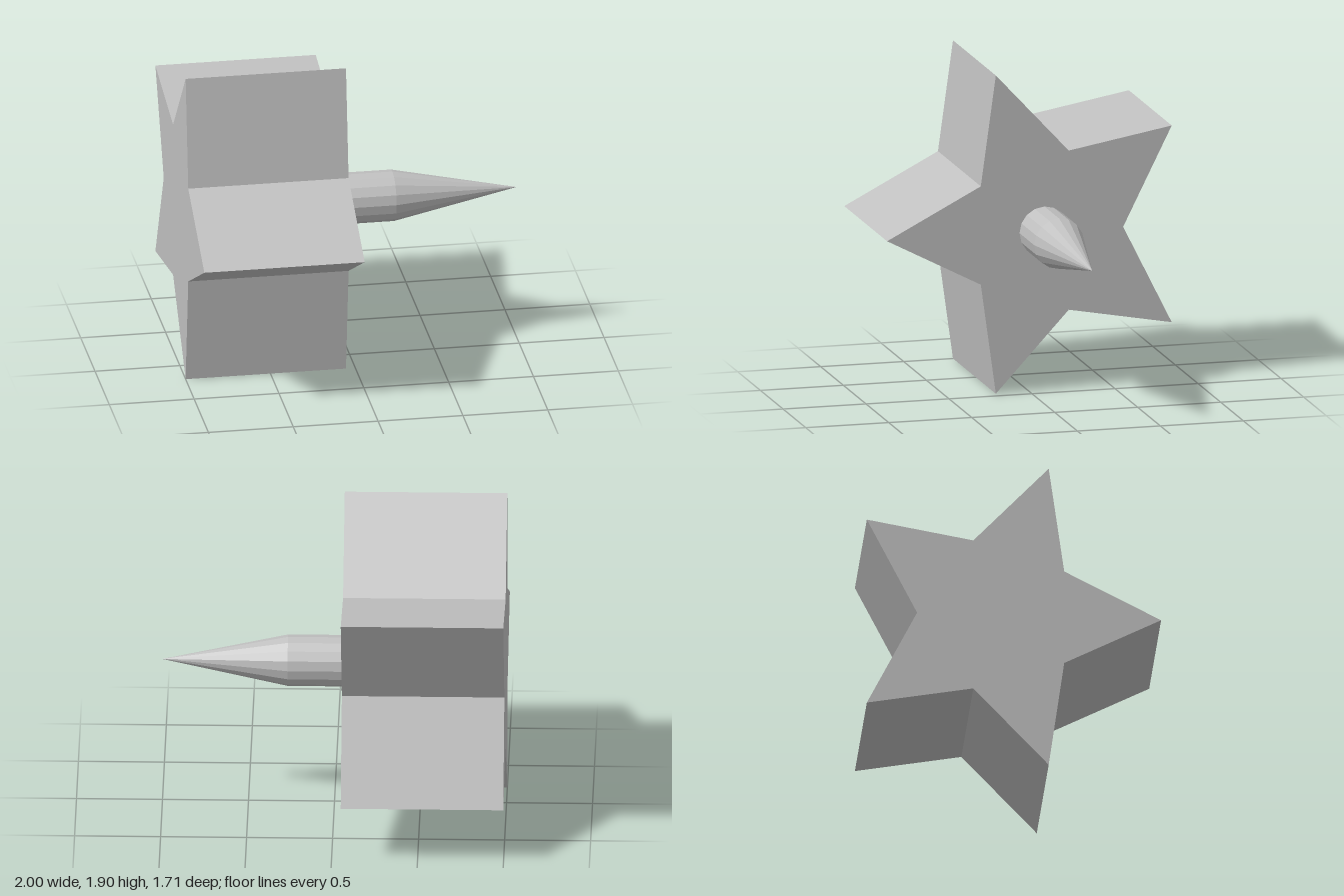
import * as THREE from 'three';

const CENTER_Y = 0.95, CENTER_Z = -0.09;

export function createModel() {
  const group = new THREE.Group();
  const grey = new THREE.MeshStandardMaterial({ color: 0xc0c0c0, flatShading: true });
  grey.name = 'light grey';

  const add = (name, geometry, x) => {
    const mesh = new THREE.Mesh(geometry, grey);
    mesh.name = name;
    mesh.position.set(x, CENTER_Y, CENTER_Z);
    group.add(mesh);
  };

  // Five-pointed star, slightly taller than wide, one tip to the front
  const points = [];
  for (let i = 0; i < 10; i++) {
    const a = i * Math.PI / 5, s = i % 2 ? 0.5 : 1;
    points.push(new THREE.Vector2(-0.948 * s * Math.cos(a), 0.998 * s * Math.sin(a)));
  }
  const star = new THREE.ExtrudeGeometry(new THREE.Shape(points), { depth: 0.945, bevelEnabled: false });
  star.rotateY(Math.PI / 2);
  add('starBlock', star, -1);

  // Round peg standing out of the star's left face
  const peg = new THREE.CylinderGeometry(0.15, 0.15, 0.323, 16);
  peg.rotateZ(-Math.PI / 2);
  add('peg', peg, 0.1065);

  // Pointed tip
  const tip = new THREE.ConeGeometry(0.15, 0.732, 16);
  tip.rotateZ(-Math.PI / 2);
  add('pegTip', tip, 0.634);

  return group;
}
